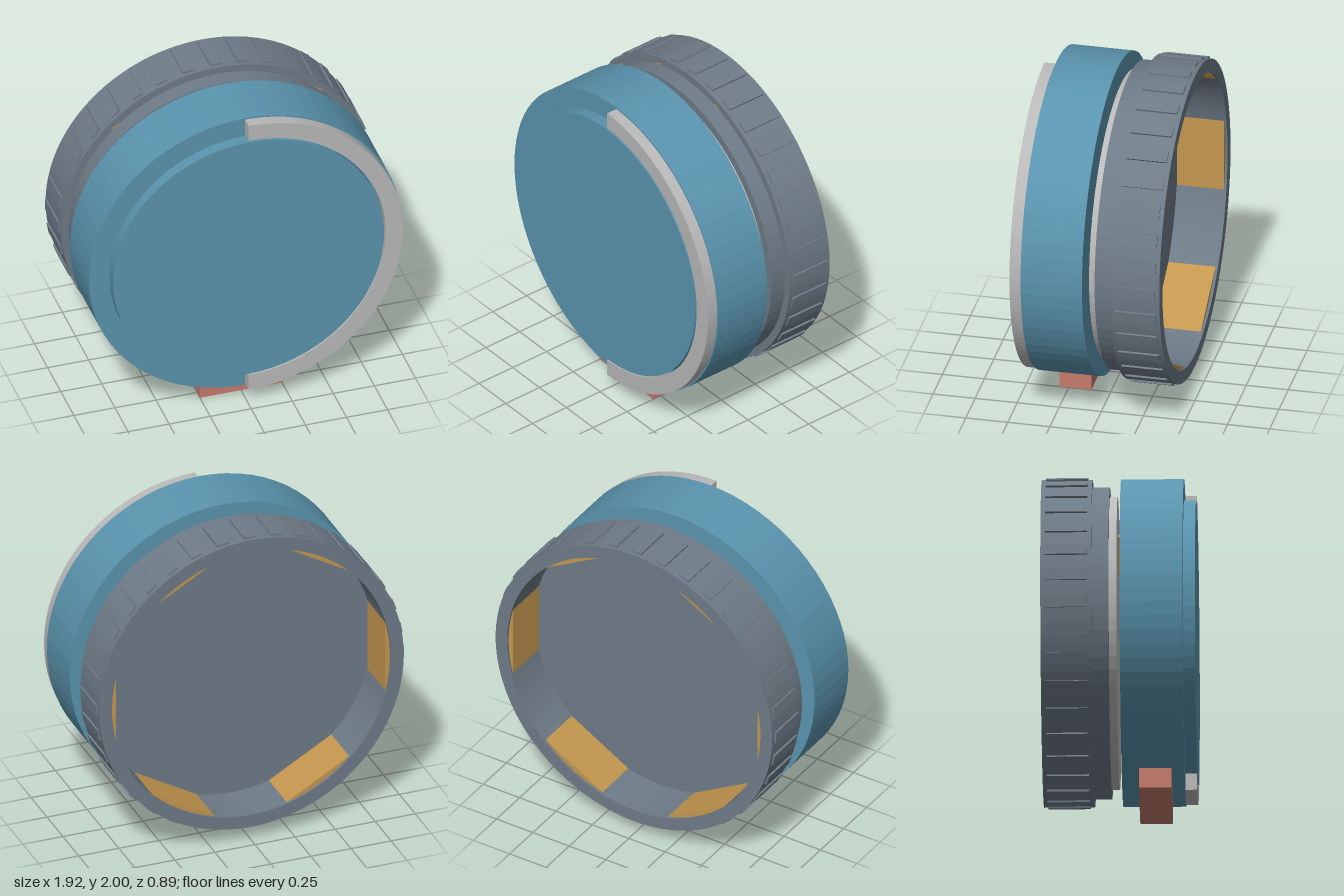
import * as THREE from 'three';

const CY = 1.04;      // height of the common axis
const SIDES = 72;

const mat = (name, color) => {
  const m = new THREE.MeshStandardMaterial({ color });
  m.name = name;
  return m;
};

export function createModel() {
  const blue = mat('blue', 0x5a94ae);
  const silver = mat('silver', 0xb9b9b9);
  const slate = mat('slate', 0x6e7b87);
  const gold = mat('gold', 0xc4974f);
  const red = mat('red', 0xc57a6c);

  const model = new THREE.Group();
  const body = new THREE.Group();   // everything turned about the axis
  body.name = 'body';
  body.position.y = CY;
  model.add(body);

  const add = (parent, name, geometry, material) => {
    const mesh = new THREE.Mesh(geometry, material);
    mesh.name = name;
    parent.add(mesh);
    return mesh;
  };

  // Faceted disc along z
  const disc = (name, r, z0, z1, material) => {
    const g = new THREE.CylinderGeometry(r, r, z1 - z0, SIDES).rotateX(Math.PI / 2).toNonIndexed();
    g.computeVertexNormals();
    g.translate(0, 0, (z0 + z1) / 2);
    return add(body, name, g, material);
  };

  // Ring or part of a ring, extruded along z
  const ring = (name, rOut, rIn, z0, z1, a0, a1, material) => {
    const shape = new THREE.Shape();
    shape.absarc(0, 0, rOut, a0, a1, false);
    if (a1 - a0 > 6.28) {
      shape.holes.push(new THREE.Path().absarc(0, 0, rIn, 0, Math.PI * 2, true));
    } else {
      shape.absarc(0, 0, rIn, a1, a0, true);
      shape.closePath();
    }
    const g = new THREE.ExtrudeGeometry(shape, {
      depth: z1 - z0, bevelEnabled: false, curveSegments: a1 - a0 > 6.28 ? SIDES : SIDES / 2,
    });
    g.translate(0, 0, z0);
    return add(body, name, g, material);
  };

  // Equal boxes spaced around the axis
  const around = (name, count, total, size, radius, z, material) => {
    const group = new THREE.Group();
    group.name = name + 's';
    const g = new THREE.BoxGeometry(...size).translate(radius, 0, z);
    for (let i = 0; i < count; i++) {
      add(group, name, g, material).rotation.z = (i / total) * Math.PI * 2;
    }
    body.add(group);
  };

  // Front housing with raised face and half-circle trim
  disc('frontHousing', 0.95, 0.015, 0.38, blue);
  disc('raisedFace', 0.825, 0.375, 0.45, blue);
  ring('halfRingTrim', 0.94, 0.835, 0.38, 0.448, -Math.PI / 2, Math.PI / 2, silver);

  // Rear ring: lip, step and open grip
  disc('contactLip', 0.85, -0.05, -0.005, silver);
  disc('rearStep', 0.905, -0.15, -0.05, slate);
  ring('gripRing', 0.95, 0.87, -0.445, -0.15, 0, Math.PI * 2, slate);
  around('gripRib', 36, 36, [0.03, 0.07, 0.245], 0.946, -0.2975, slate);

  // Flat pads inside the open ring and thin pads in the gap
  around('innerPad', 6, 6, [0.05, 0.45, 0.28], 0.865, -0.29, gold);
  around('contactPad', 2, 3, [0.23, 0.16, 0.009], 0.51, -0.001, gold);

  // Foot under the housing
  add(model, 'foot', new THREE.BoxGeometry(0.5, 0.125, 0.19).translate(0, 0.0625, 0.21), red);

  return model;
}
